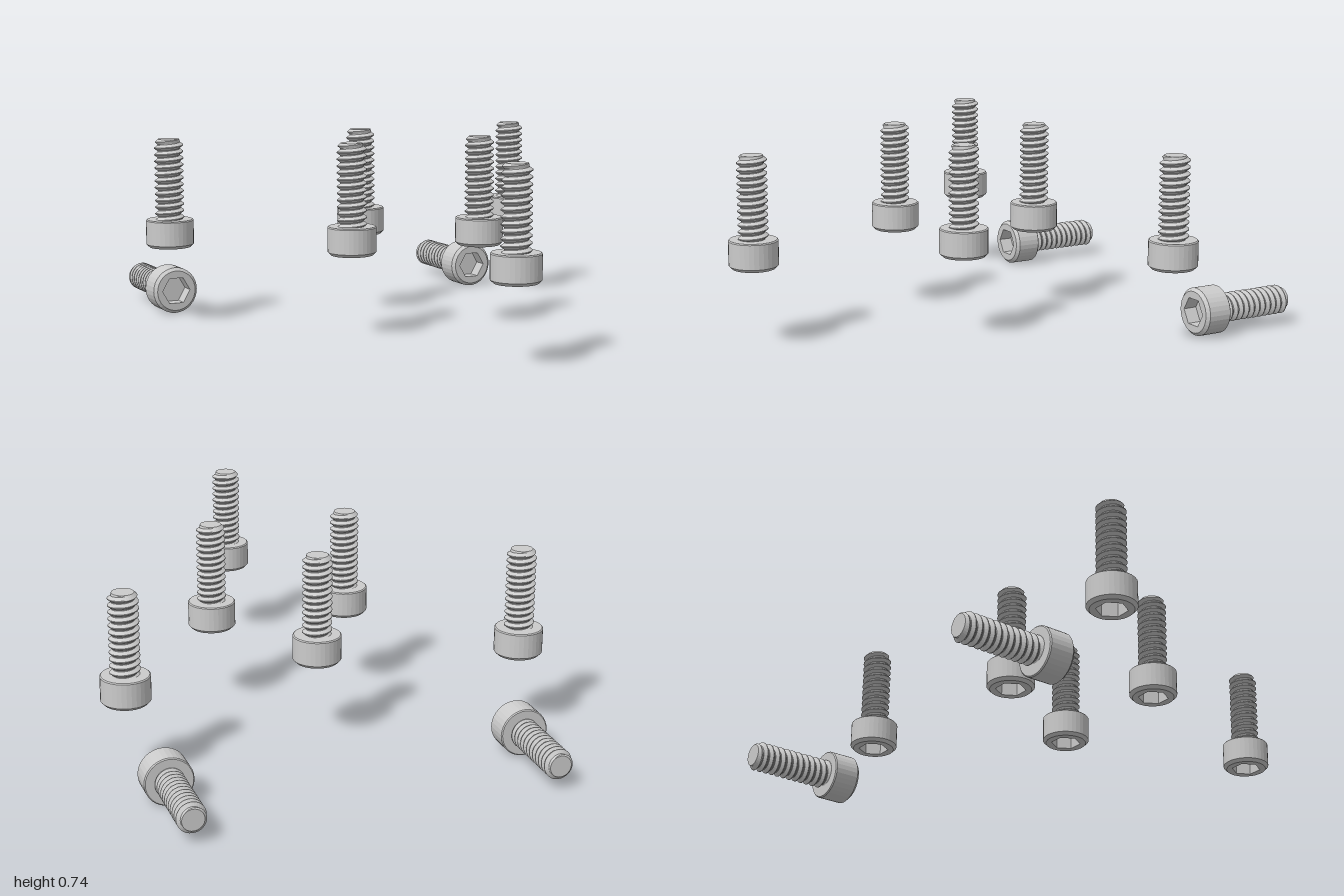
import * as THREE from 'three';

const HEAD_R = 0.092, HEAD_H = 0.108, FACE_R = 0.08;
const HEX_R = 0.058, HEX_DEPTH = 0.055;
const ROOT = 0.043, CREST = 0.056, TIP_R = 0.041;
const LENGTH = 0.42, PITCH = 0.0255, SEGS = 32;

const metal = new THREE.MeshStandardMaterial({ color: 0xcccccc, flatShading: true });
const socketMetal = new THREE.MeshStandardMaterial({ color: 0xcccccc, flatShading: true, side: THREE.DoubleSide });

// Right-handed V thread: each profile point is swept along a helix and trimmed at both ends
function threadGeometry(y0, y1) {
  const profile = [[0, ROOT], [0.12, ROOT], [0.5, CREST], [0.62, CREST]];
  const turns = Math.ceil((y1 - y0) / PITCH);
  const positions = [], indices = [];
  let rows = 0;
  for (let turn = -1; turn <= turns; turn++) {
    for (const [offset, radius] of profile) {
      for (let j = 0; j <= SEGS; j++) {
        const u = j / SEGS, a = u * Math.PI * 2;
        const y = THREE.MathUtils.clamp(y0 + (turn + offset + u) * PITCH, y0, y1);
        const r = Math.min(radius, TIP_R + (y1 - y));
        positions.push(r * Math.cos(a), y, -r * Math.sin(a));
      }
      rows++;
    }
  }
  for (let k = 0; k < rows - 1; k++) {
    for (let j = 0; j < SEGS; j++) {
      const a = k * (SEGS + 1) + j, c = a + SEGS + 1;
      indices.push(a, a + 1, c, a + 1, c + 1, c);
    }
  }
  const geometry = new THREE.BufferGeometry();
  geometry.setAttribute('position', new THREE.Float32BufferAttribute(positions, 3));
  geometry.setIndex(indices);
  const flat = geometry.toNonIndexed();
  flat.computeVertexNormals();
  return flat;
}

// Flat ring around the hexagonal socket, facing down
function faceGeometry() {
  const polygon = (r, n) => Array.from({ length: n }, (_, i) => {
    const a = i / n * Math.PI * 2;
    return new THREE.Vector2(r * Math.cos(a), r * Math.sin(a));
  });
  const shape = new THREE.Shape(polygon(FACE_R, SEGS));
  shape.holes.push(new THREE.Path(polygon(HEX_R, 6).reverse()));
  return new THREE.ShapeGeometry(shape).rotateX(Math.PI / 2);
}

function screwParts() {
  const headProfile = [
    [FACE_R, 0], [HEAD_R, 0.012], [HEAD_R, HEAD_H - 0.004], [HEAD_R - 0.004, HEAD_H], [0, HEAD_H],
  ].map(([r, y]) => new THREE.Vector2(r, y));
  return [
    ['head', new THREE.LatheGeometry(headProfile, SEGS).rotateY(Math.PI / 2), metal],
    ['headFace', faceGeometry(), metal],
    ['socketWall', new THREE.CylinderGeometry(HEX_R, HEX_R, HEX_DEPTH, 6, 1, true)
      .rotateY(Math.PI / 6).translate(0, HEX_DEPTH / 2, 0), socketMetal],
    ['socketFloor', new THREE.CircleGeometry(HEX_R, 6)
      .rotateX(Math.PI / 2).translate(0, HEX_DEPTH, 0), metal],
    ['thread', threadGeometry(HEAD_H - 0.004, LENGTH), metal],
    ['threadTip', new THREE.CircleGeometry(TIP_R, SEGS)
      .rotateX(-Math.PI / 2).translate(0, LENGTH, 0), metal],
  ];
}

export function createModel() {
  const model = new THREE.Group();
  model.name = 'socketScrews';
  const parts = screwParts();

  // The origin of each screw is the centre of its socket face
  const addScrew = (name, x, y, z, tilt = 0) => {
    const screw = new THREE.Group();
    screw.name = name;
    for (const [partName, geometry, material] of parts) {
      const mesh = new THREE.Mesh(geometry, material);
      mesh.name = partName;
      screw.add(mesh);
    }
    screw.position.set(x, y, z);
    screw.rotation.x = tilt;
    model.add(screw);
  };

  // Upright screws on the centre line
  addScrew('frontScrew', 0, 0.3, 0.908);
  addScrew('centreBackScrew', 0, 0.316, -0.294);

  // Mirrored pairs, the last one lying with its tip to the back
  for (const [side, s] of [['left', 1], ['right', -1]]) {
    addScrew(side + 'InnerScrew', s * 0.274, 0.316, 0.18);
    addScrew(side + 'OuterScrew', s * 0.766, 0.3, -0.419);
    addScrew(side + 'LyingScrew', s * 0.681, HEAD_R, -0.58, -Math.PI / 2);
  }
  return model;
}
